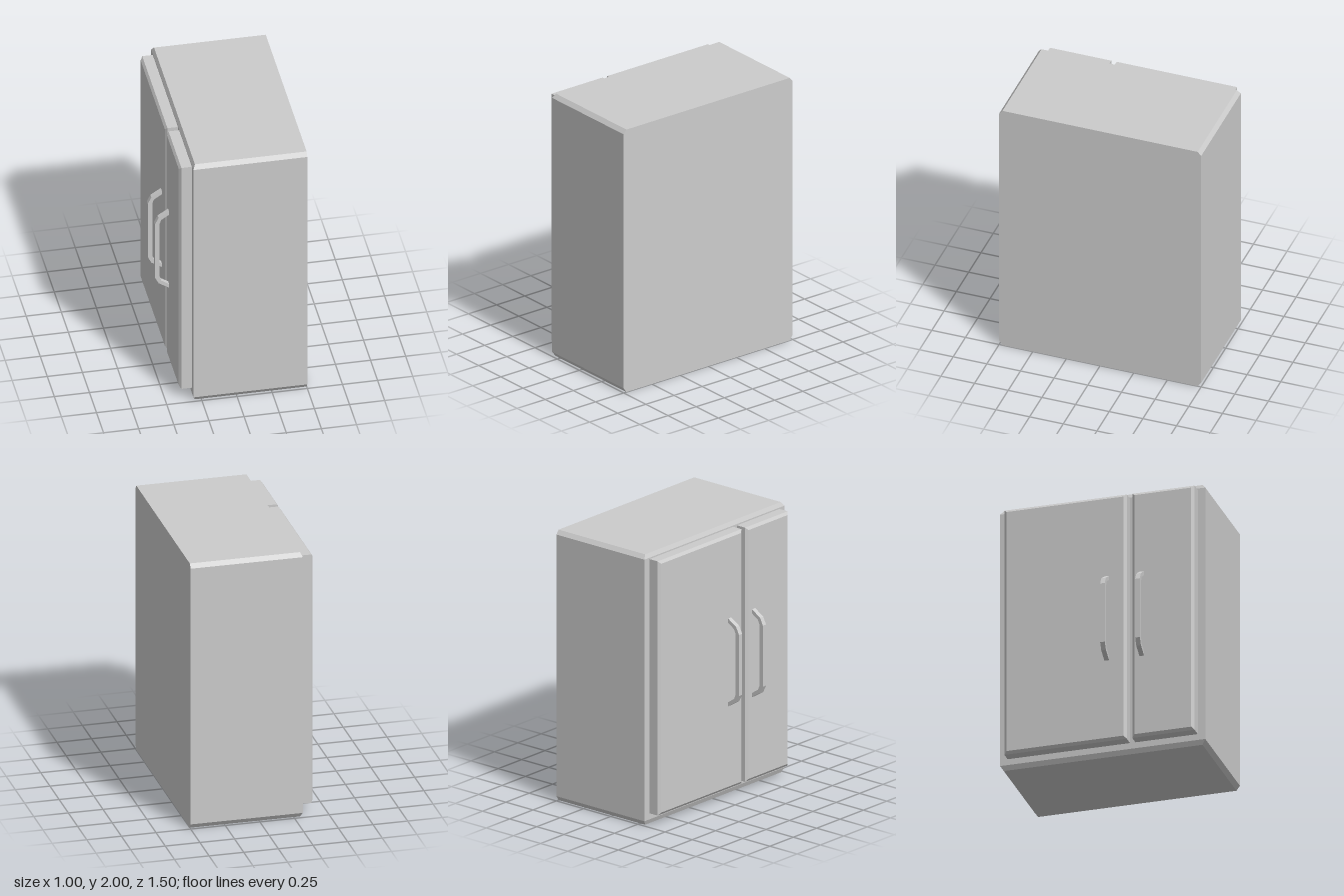
import * as THREE from 'three';

const material = new THREE.MeshStandardMaterial({ color: 0xcccccc, flatShading: true });

function addPart(parent, name, geometry) {
  const mesh = new THREE.Mesh(geometry, material);
  mesh.name = name;
  parent.add(mesh);
  return mesh;
}

// Unit box whose vertices are moved by a rule, then given flat normals
function shapedBox(segX, segY, rule) {
  const geometry = new THREE.BoxGeometry(1, 1, 1, segX, segY, 1).toNonIndexed();
  const p = geometry.attributes.position;
  for (let i = 0; i < p.count; i++) {
    p.setXYZ(i, ...rule(p.getX(i) + 0.5, p.getY(i) + 0.5, Math.sign(p.getZ(i))));
  }
  geometry.computeVertexNormals();
  return geometry;
}

// Cabinet: top and bottom edges chamfered on the door side and both ends
function cabinetGeometry() {
  const levels = [0, 0.035, 1.97, 2];
  return shapedBox(1, 3, (x, y, side) => {
    const row = Math.round(y * 3);
    const cap = row === 0 || row === 3;
    return [x > 0.5 ? 0.5 : cap ? -0.295 : -0.31, levels[row], side * (cap ? 0.725 : 0.75)];
  });
}

// Door slab: chamfered all round its outer face
function doorGeometry(z0, z1) {
  const depths = [-0.4, -0.385, -0.31];
  return shapedBox(2, 1, (x, y, side) => {
    const step = Math.round(x * 2);
    const inset = step === 0 ? 0.02 : 0;
    return [
      depths[step],
      y > 0.5 ? 1.96 - inset : 0.08 + inset,
      side > 0 ? z1 - inset : z0 + inset,
    ];
  });
}

// Handle: bent bar, its upper half mirrored about the middle height
function handleGeometry(width) {
  const mid = 1.02;
  const outer = [[-0.395, 0.328], [-0.474, 0.278], [-0.5, 0.226]];
  const inner = [[-0.467, 0.228], [-0.455, 0.258], [-0.395, 0.297]];
  const flip = (points) => points.map(([x, y]) => [x, -y]).reverse();
  const outline = [...outer, ...flip(outer), ...flip(inner), ...inner];
  const shape = new THREE.Shape(outline.map(([x, y]) => new THREE.Vector2(x, y + mid)));
  return new THREE.ExtrudeGeometry(shape, { depth: width, bevelEnabled: false });
}

export function createModel() {
  const fridge = new THREE.Group();
  fridge.name = 'refrigerator';
  addPart(fridge, 'cabinet', cabinetGeometry());

  // Wide and narrow doors, each with a handle near the gap between them
  const doors = [
    { name: 'wideDoor', z0: -0.695, z1: 0.2, handleZ: 0.041 },
    { name: 'narrowDoor', z0: 0.24, z1: 0.695, handleZ: 0.297 },
  ];
  for (const { name, z0, z1, handleZ } of doors) {
    const door = new THREE.Group();
    door.name = name;
    addPart(door, 'doorPanel', doorGeometry(z0, z1));
    addPart(door, 'doorHandle', handleGeometry(0.034)).position.z = handleZ;
    fridge.add(door);
  }
  return fridge;
}
